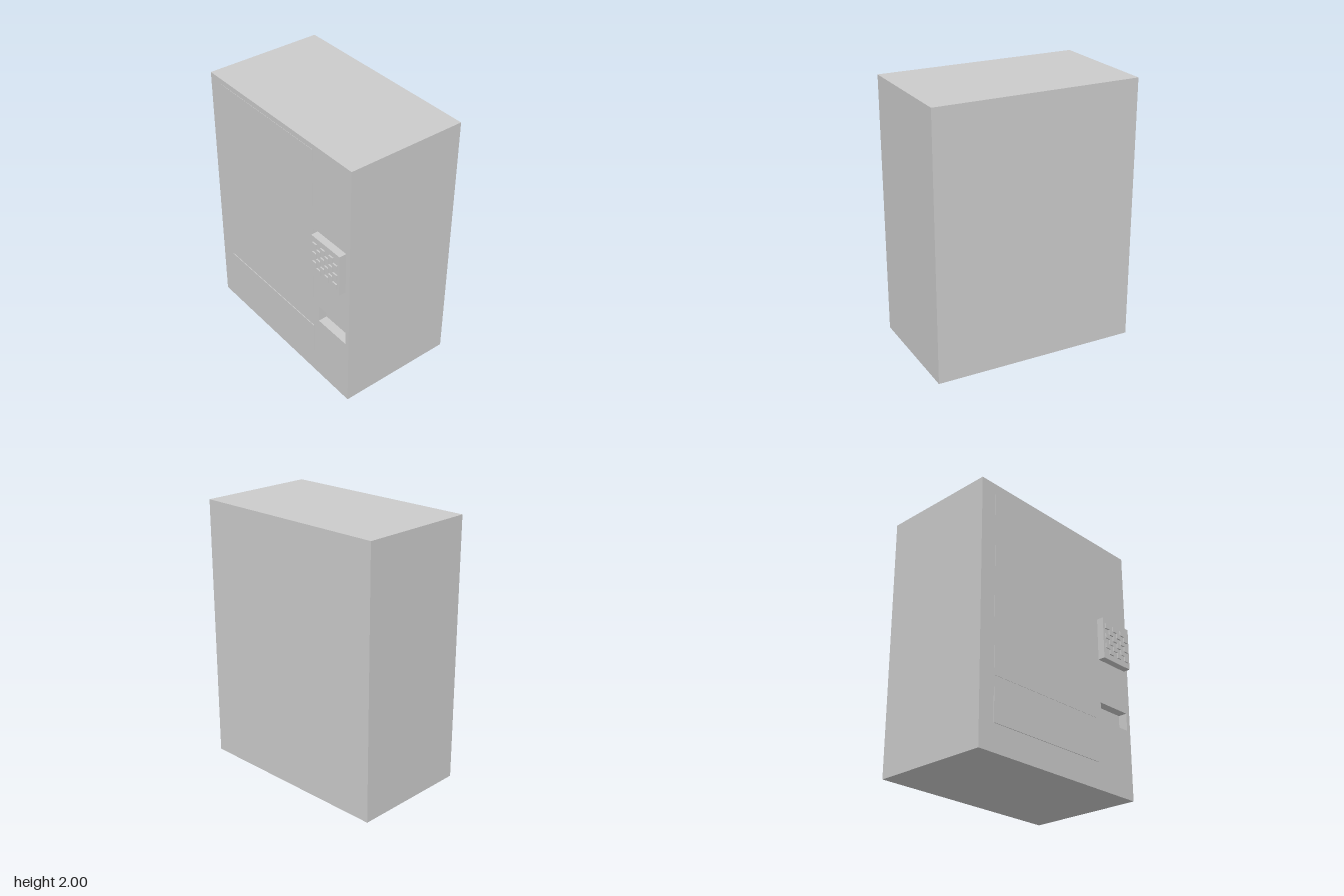
import * as THREE from 'three';

const material = new THREE.MeshStandardMaterial({ color: 0xcccccc, flatShading: true });
const FACE = -0.425; // x of the service side, which faces -x
const RECESS = 0.07; // depth of the coin return slot
const HALF = 0.78; // half length of the cabinet along z

export function createModel() {
  const group = new THREE.Group();

  // Box given by its lower and upper bounds on each axis
  function addBox(name, [x0, x1], [y0, y1], [z0, z1], parent = group) {
    const mesh = new THREE.Mesh(new THREE.BoxGeometry(x1 - x0, y1 - y0, z1 - z0), material);
    mesh.position.set((x0 + x1) / 2, (y0 + y1) / 2, (z0 + z1) / 2);
    mesh.name = name;
    parent.add(mesh);
  }

  // Main cabinet behind the service panel
  addBox('cabinet', [FACE + RECESS, 0.49], [0, 2], [-HALF, HALF]);

  // Service panel with a rectangular opening for the coin return
  const rect = (Type, a0, b0, a1, b1) =>
    new Type([[a0, b0], [a1, b0], [a1, b1], [a0, b1]].map(([a, b]) => new THREE.Vector2(a, b)));
  const outline = rect(THREE.Shape, -HALF, 0, HALF, 2);
  outline.holes.push(rect(THREE.Path, 0.445, 0.53, 0.745, 0.665));
  const panelGeometry = new THREE.ExtrudeGeometry(outline, { depth: RECESS, bevelEnabled: false });
  panelGeometry.rotateY(-Math.PI / 2);
  panelGeometry.translate(FACE + RECESS, 0, 0);
  const panel = new THREE.Mesh(panelGeometry, material);
  panel.name = 'servicePanel';
  group.add(panel);

  // Display window and delivery flap, barely raised from the panel
  addBox('displayWindow', [FACE - 0.002, FACE + 0.01], [0.53, 1.96], [-0.65, 0.39]);
  addBox('deliveryFlap', [FACE - 0.005, FACE + 0.01], [0.2, 0.445], [-0.65, 0.39]);

  // Keypad housing with a checkered grid of buttons
  const keypad = new THREE.Group();
  keypad.name = 'keypad';
  group.add(keypad);
  addBox('keypadHousing', [-0.48, FACE], [1.005, 1.335], [0.44, 0.74], keypad);
  const cells = 6, dz = 0.26 / cells, dy = 0.24 / cells;
  for (let row = 0; row < cells; row++) {
    for (let col = row % 2; col < cells; col += 2) {
      const y = 1.29 - row * dy, z = 0.46 + col * dz;
      addBox('keypadButton', [-0.49, -0.478], [y - dy, y], [z, z + dz], keypad);
    }
  }

  return group;
}
